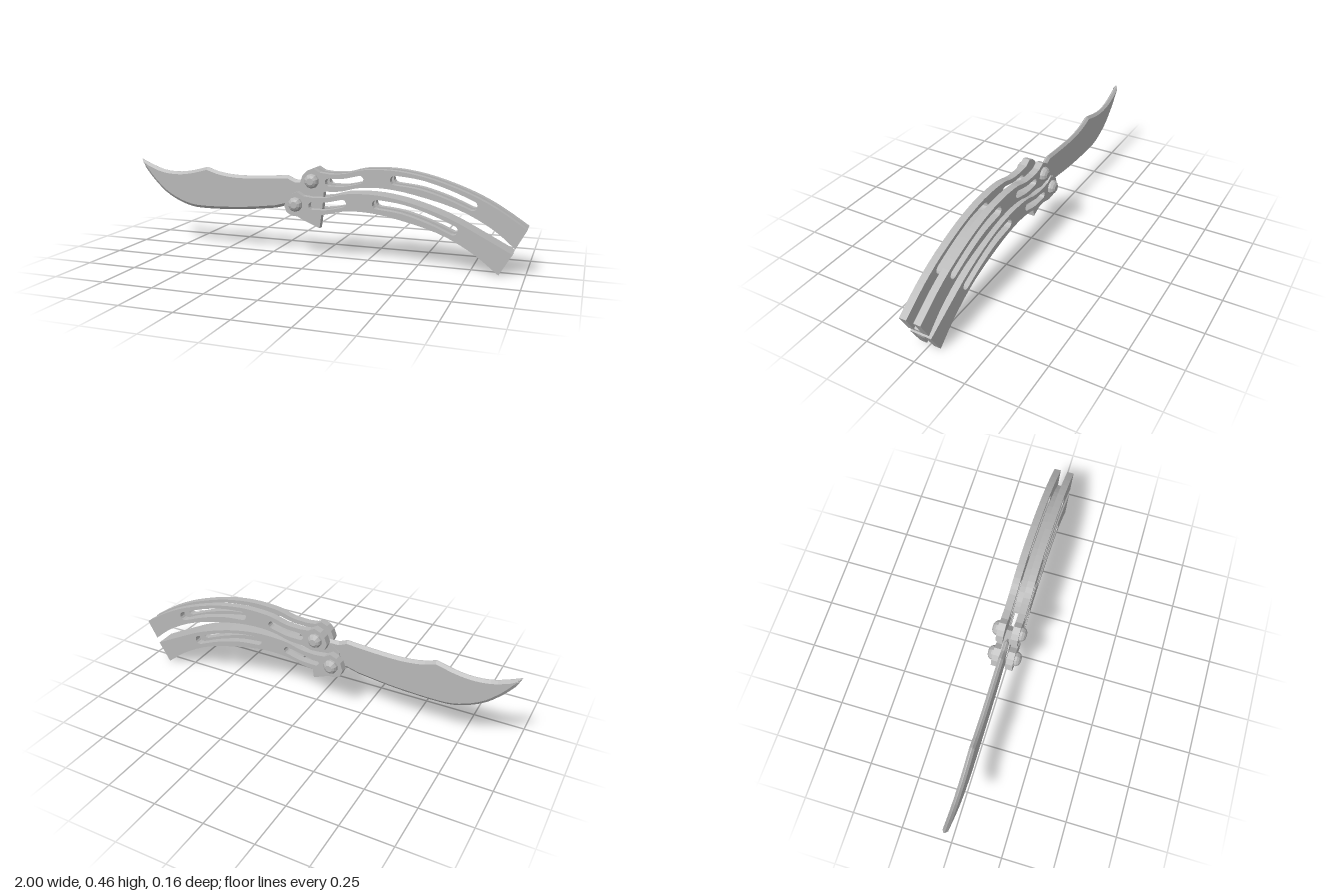
import * as THREE from 'three';

const S = 187;
// drafting units (x right, y down) to model units
const P = ([x, y]) => new THREE.Vector2((x - 238) / S, (267 - y) / S);
const curve = (pts, n = 24) => new THREE.SplineCurve(pts.map(P)).getPoints(n);

// hole outline: constant-width band with round ends along a curved centre line
function slot(pts, r, n = 12) {
  const c = new THREE.SplineCurve(pts.map(P));
  const out = [];
  const side = (t, a) => {
    const p = c.getPoint(t), d = c.getTangent(t), ang = Math.atan2(d.y, d.x) + a;
    out.push(new THREE.Vector2(p.x + r * Math.cos(ang), p.y + r * Math.sin(ang)));
  };
  for (let i = 0; i <= n; i++) side(i / n, Math.PI / 2);
  for (let i = 1; i < 6; i++) side(1, Math.PI / 2 - i * Math.PI / 6);
  for (let i = n; i >= 0; i--) side(i / n, -Math.PI / 2);
  for (let i = 1; i < 6; i++) side(0, -Math.PI / 2 - i * Math.PI / 6);
  return new THREE.Path(out.reverse()); // opposite winding to the plate outline
}

function plate(shape, depth, z) {
  return new THREE.ExtrudeGeometry(shape, { depth, bevelEnabled: false }).translate(0, 0, z);
}

export function createModel() {
  const model = new THREE.Group();
  const steel = new THREE.MeshStandardMaterial({ color: 0xb8b8b8 });
  steel.name = 'grey steel';
  const add = (name, geo, parent = model) => {
    const m = new THREE.Mesh(geo, steel);
    m.name = name;
    parent.add(m);
  };

  // Blade, bevelled to a ridge all round
  const blade = new THREE.Shape([
    ...curve([[51, 184.2], [62, 189], [75, 193.5], [90, 195], [105, 193.5], [123, 189]], 12),
    ...curve([[124, 189], [137, 193], [155, 195], [178, 194.5], [207, 192.5]], 10),
    ...[[215, 196], [224, 196], [236, 205], [232, 222], [206, 221]].map(P),
    ...curve([[195, 224], [160, 228], [120, 229.5], [100, 227], [80, 218], [65, 205], [55, 193]], 20),
  ]);
  add('blade', new THREE.ExtrudeGeometry(blade, {
    depth: 0.004, bevelEnabled: true, bevelSegments: 1,
    bevelThickness: 0.011, bevelSize: 0.014, bevelOffset: -0.014,
  }).translate(0, 0, -0.002));

  // Tang with the pointed guard below it
  const tang = new THREE.Shape(
    [[213, 206], [222, 199], [236, 199], [243, 206], [242, 218], [239, 240], [222, 233], [211, 227]].map(P));
  add('tangGuard', plate(tang, 0.0356, -0.0178));

  // Handles: two slotted plates joined by a thin spine strip
  const topEdge = [[250, 188], [265, 187], [280, 183], [300, 181.7], [320, 183], [345, 188], [375, 198], [400, 210]];
  const bottomEdge = [[396, 227], [366, 212], [326, 201.5], [299, 198], [278, 199], [262, 203], [248, 204]];
  const head = [[238, 206.5], [230, 206], [225, 203], [222.5, 197], [225, 190], [229, 186], [235, 183.5], [241, 187]];
  const bigSlot = [[311, 190.3], [334, 193], [358, 200], [379, 208.5]];
  const smallSlot = [[250, 195.5], [264, 195], [279, 191.5]];

  // domed cap of a pivot pin, set into a plate
  const capProfile = [[0, 0.045], [0.036, 0.045], [0.036, 0.064], [0.029, 0.075], [0.017, 0.082], [0, 0.082]]
    .map(([x, y]) => new THREE.Vector2(x, y));
  const cap = new THREE.LatheGeometry(capProfile, 10).toNonIndexed();
  cap.computeVertexNormals();

  function handle(name, dx, dy, ends, spineOnTop) {
    const g = new THREE.Group();
    g.name = name;
    model.add(g);
    const sh = (pts) => pts.map(([x, y]) => [x + dx, y + dy]);
    const top = curve([...sh(topEdge), ends[0]]);
    const bottom = curve([ends[1], ...sh(bottomEdge)]);
    const shape = new THREE.Shape([...top, ...bottom, ...sh(head).map(P)]);
    shape.holes.push(slot(sh(bigSlot), 0.023), slot(sh(smallSlot), 0.019, 6));
    add('frontPlate', plate(shape, 0.035, 0.018), g);
    add('backPlate', plate(shape, 0.035, -0.053), g);

    // spine strip between the plates along one edge
    const line = (spineOnTop ? top : bottom).filter((p) => p.x > 0.09);
    const off = spineOnTop ? -0.014 : 0.012;
    const inner = line.map((p) => new THREE.Vector2(p.x + off * 0.3, p.y + off)).reverse();
    add('spine', plate(new THREE.Shape([...line, ...inner]), 0.037, -0.0185), g);

    // pivot caps on both sides
    const c = P([234 + dx, 195 + dy]);
    for (const s of [1, -1]) {
      add(s > 0 ? 'frontPivotCap' : 'backPivotCap',
        cap.clone().rotateX(s * Math.PI / 2).translate(c.x, c.y, 0), g);
    }
  }

  handle('upperHandle', 0, 0, [[425, 226], [416, 243]], false);
  handle('lowerHandle', -16, 22.5, [[414, 248], [403, 267]], true);

  return model;
}
